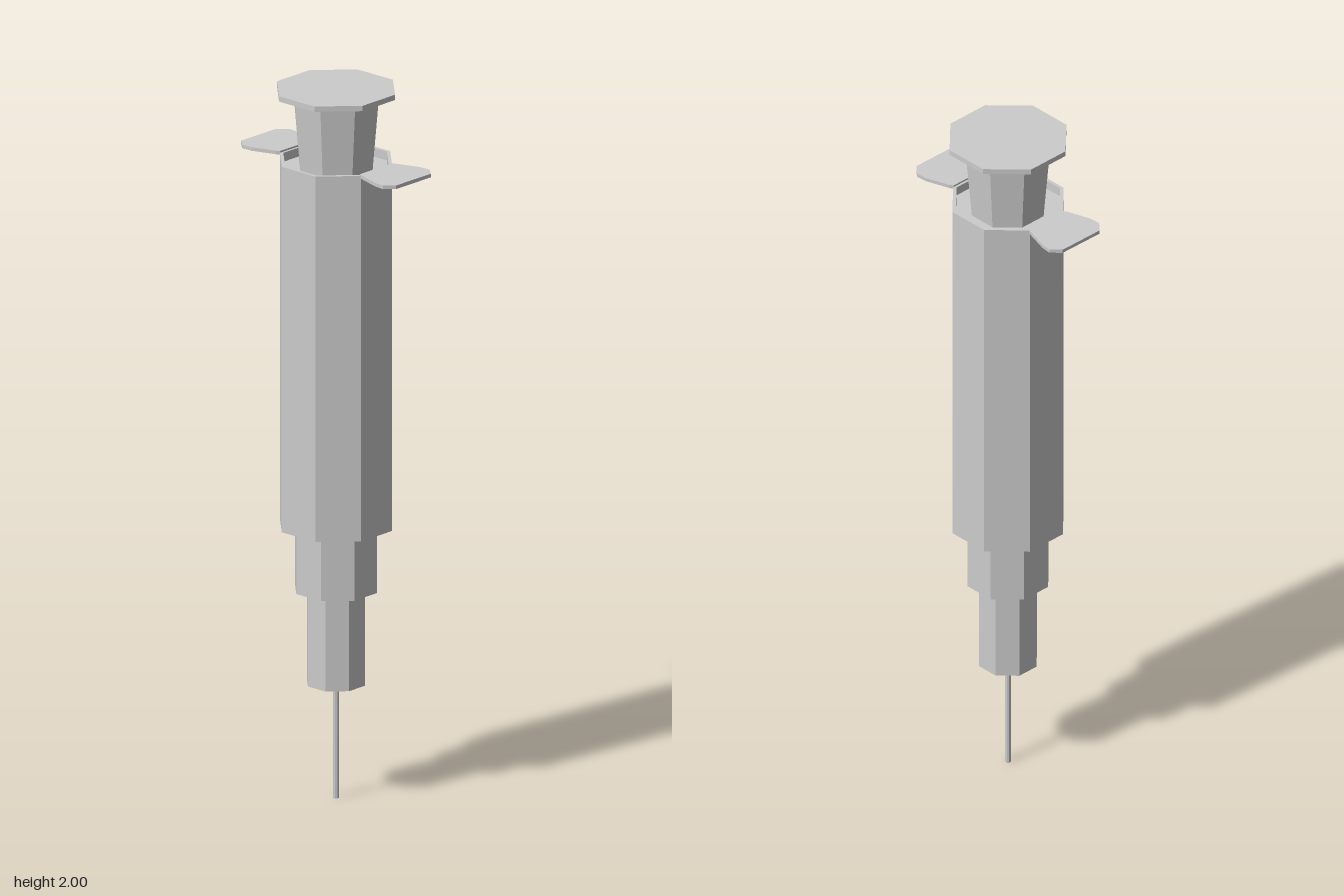
import * as THREE from 'three';

const material = new THREE.MeshStandardMaterial({ color: 0xcccccc, flatShading: true });

// Eight-sided turned part from [radius, height] pairs, listed bottom to top.
function turned(name, profile, sides = 8) {
  const points = profile.map(([r, y]) => new THREE.Vector2(r, y));
  const mesh = new THREE.Mesh(new THREE.LatheGeometry(points, sides), material);
  mesh.name = name;
  return mesh;
}

// Solid prism between two heights.
const prism = (name, r, y0, y1, sides) =>
  turned(name, [[0, y0], [r, y0], [r, y1], [0, y1]], sides);

// Flat finger grip, outlined in plan as [x, z].
function fingerGrip(name) {
  const outline = [
    [-0.002, 0.158], [0.113, 0.111], [0.122, 0.117], [0.169, 0.172], [0.183, 0.201],
    [0.171, 0.235], [0.045, 0.286], [0.012, 0.272], [0.003, 0.244], [-0.004, 0.167],
  ];
  const shape = new THREE.Shape(outline.map(([x, z]) => new THREE.Vector2(x, -z)));
  const geometry = new THREE.ExtrudeGeometry(shape, { depth: 0.01, bevelEnabled: false });
  geometry.rotateX(-Math.PI / 2);
  geometry.translate(0, 1.795, 0);
  const mesh = new THREE.Mesh(geometry, material);
  mesh.name = name;
  return mesh;
}

export function createModel() {
  const group = new THREE.Group();
  group.name = 'syringe';

  // Needle and stepped tip
  group.add(prism('needle', 0.008, 0, 0.33, 8));
  group.add(prism('needleHub', 0.083, 0.325, 0.59));
  group.add(prism('collar', 0.117, 0.59, 0.77));

  // Barrel with a shallow recess inside the top rim
  group.add(turned('barrel', [
    [0, 0.77], [0.16, 0.77], [0.16, 1.8], [0.15, 1.8], [0.15, 1.775], [0, 1.775],
  ]));

  // Flared plunger with a thumb plate
  group.add(turned('plunger', [[0.104, 1.775], [0.106, 1.8], [0.121, 1.972]]));
  group.add(turned('thumbPlate', [
    [0, 1.972], [0.121, 1.972], [0.168, 1.985], [0.168, 2], [0, 2],
  ]));

  // Opposed finger grips
  const frontGrip = fingerGrip('frontFingerGrip');
  const backGrip = fingerGrip('backFingerGrip');
  backGrip.rotation.y = Math.PI;
  group.add(frontGrip, backGrip);

  group.position.set(-0.002, 0, -0.001);
  return group;
}
